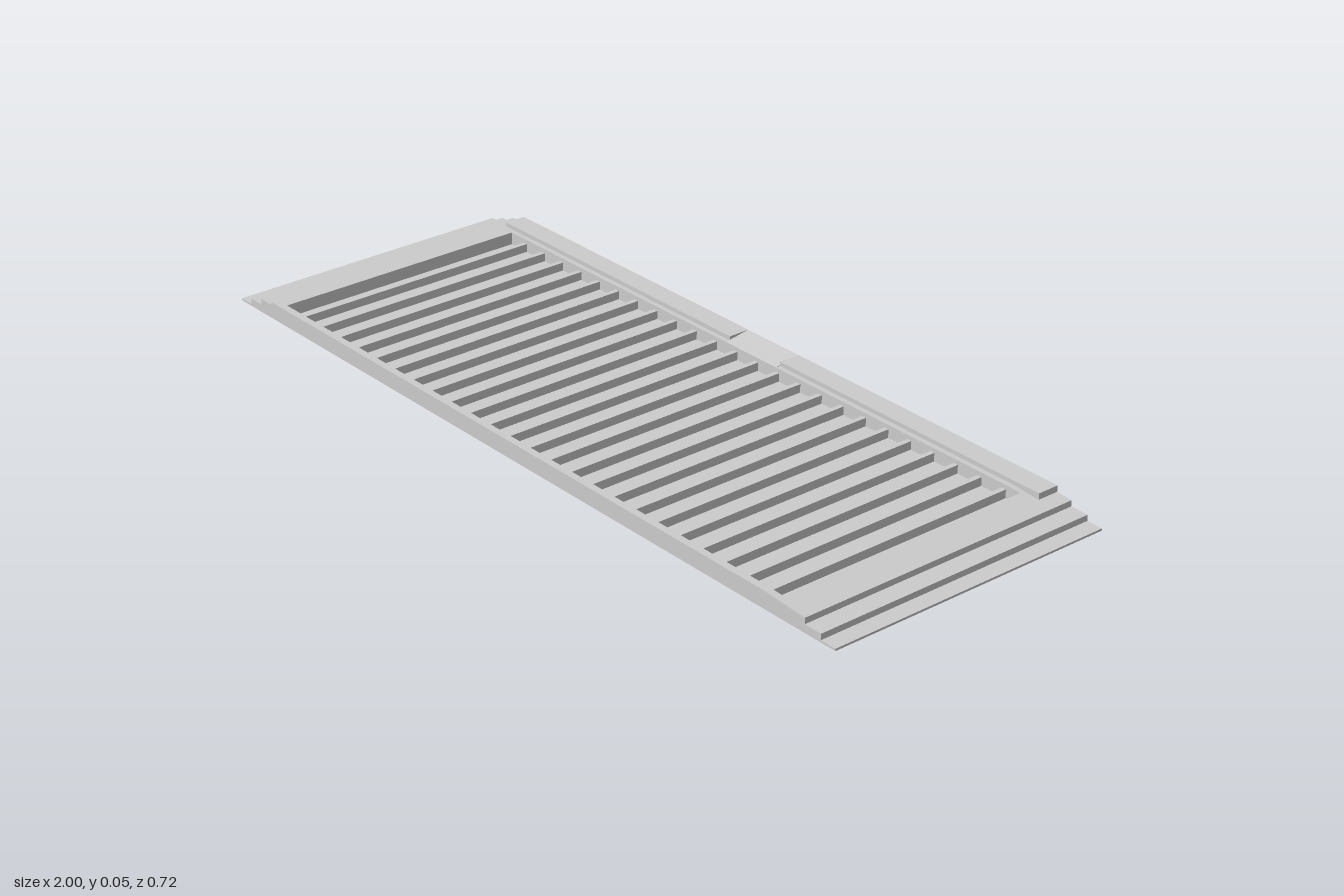
import * as THREE from 'three';

const material = new THREE.MeshStandardMaterial({ color: 0xcccccc, flatShading: true });

export function createModel() {
  const model = new THREE.Group();
  model.name = 'steppedVentPlate';

  const add = (name, geometry) => {
    const mesh = new THREE.Mesh(geometry, material);
    mesh.name = name;
    model.add(mesh);
    return mesh;
  };
  const box = (name, x0, x1, y0, y1, z0, z1) =>
    add(name, new THREE.BoxGeometry(x1 - x0, y1 - y0, z1 - z0))
      .position.set((x0 + x1) / 2, (y0 + y1) / 2, (z0 + z1) / 2);
  const extrude = (points, depth) => new THREE.ExtrudeGeometry(
    new THREE.Shape(points.map(([x, y]) => new THREE.Vector2(x, y))),
    { depth, bevelEnabled: false });
  // x-y cross-section swept from z0 to z1
  const sweep = (name, points, z0, z1) => {
    add(name, extrude(points, z1 - z0)).position.z = z0;
  };

  const back = -0.36, front = 0.36;
  const pocket = { x0: -0.838, x1: 0.835, z0: -0.295, z1: 0.343 };
  const floorY = 0.01, ribY = 0.03;

  // Stepped ends
  sweep('rightSteps', [
    [pocket.x0, 0], [pocket.x0, 0.04], [-0.875, 0.04], [-0.875, 0.033], [-0.918, 0.033],
    [-0.918, 0.019], [-0.96, 0.019], [-0.96, 0.005], [-1, 0.005], [-1, 0],
  ], back, front);
  sweep('leftSteps', [
    [pocket.x1, 0], [1, 0], [1, 0.005], [0.96, 0.005], [0.96, 0.019],
    [0.915, 0.019], [0.915, 0.033], [pocket.x1, 0.038],
  ], back, front);

  // Long rails along the front and back of the pocket
  const rail = [[pocket.x0, 0], [pocket.x1, 0], [pocket.x1, 0.038], [0.8, 0.04], [pocket.x0, 0.04]];
  sweep('frontRail', rail, pocket.z1, front);
  sweep('backRail', rail, back, pocket.z0);

  // Raised back lip, split by a gently sloping centre section
  const lipFront = -0.307;
  box('lipRight', -0.875, -0.065, 0.03, 0.05, back, lipFront);
  box('lipLeft', 0.1, 0.875, 0.03, 0.05, back, lipFront);
  const ramp = add('lipRamp', extrude(
    [[-back, 0.03], [-back, 0.05], [-pocket.z0, 0.04], [-pocket.z0, 0.03]], 0.165));
  ramp.rotation.y = Math.PI / 2;
  ramp.position.x = -0.065;

  // Recessed floor and its row of thin ribs
  box('pocketFloor', pocket.x0, pocket.x1, 0, floorY, pocket.z0, pocket.z1);
  for (let i = 0; i < 24; i++) {
    const x = -0.786 + i * 0.0685;
    box('rib', x - 0.006, x + 0.006, floorY, ribY, pocket.z0, pocket.z1);
  }
  return model;
}
